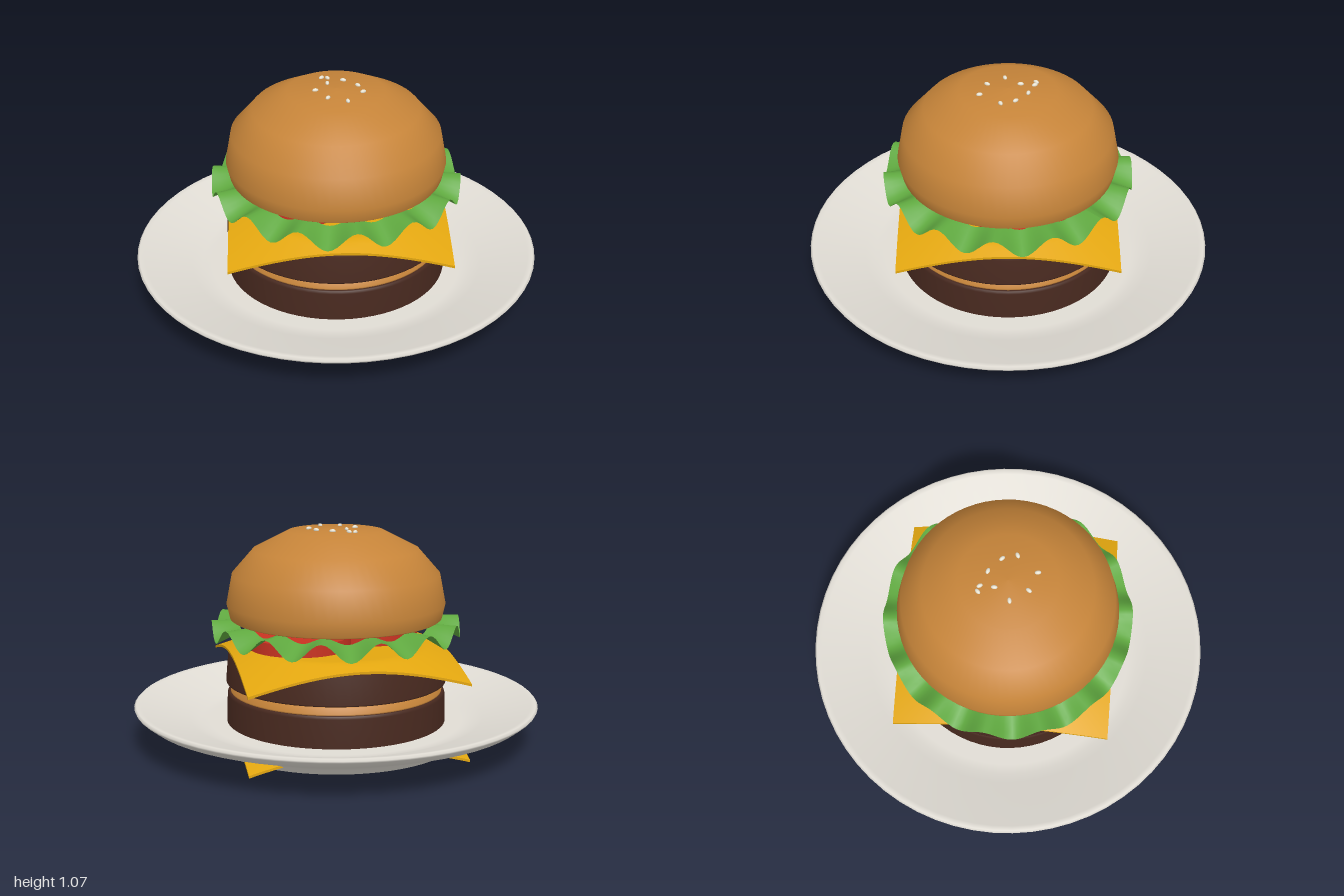
import * as THREE from 'three';

const mat = (name, color, side = THREE.FrontSide) => {
  const m = new THREE.MeshStandardMaterial({ color, side });
  m.name = name;
  return m;
};

export function createModel() {
  const model = new THREE.Group();
  model.name = 'burgerOnPlate';
  const bun = mat('toasted bun', 0xc68439);
  const meat = mat('brown patty', 0x48291f);
  const cheese = mat('yellow cheese', 0xe2a60f);
  const green = mat('green lettuce', 0x5fa83f, THREE.DoubleSide);
  const red = mat('red tomato', 0xc93322);
  const white = mat('plate white', 0xe0dcd4);
  const seedMat = mat('sesame seed', 0xf0ead8);

  const add = (name, geometry, material, x = 0, y = 0, z = 0) => {
    const mesh = new THREE.Mesh(geometry, material);
    mesh.name = name;
    mesh.position.set(x, y, z);
    model.add(mesh);
    return mesh;
  };
  // Profiles run from the bottom centre outwards and up to the top centre
  const lathe = (points) =>
    new THREE.LatheGeometry(points.map(([r, y]) => new THREE.Vector2(r, y)), 64);

  // Plate with a flat base, flared wall and rounded lip
  add('plate', lathe([
    [0, 0.012], [0.615, 0.012], [0.62, 0.015], [0.65, 0.045], [0.68, 0.065], [0.95, 0.155],
    [0.995, 0.19], [1, 0.2], [0.99, 0.21], [0.965, 0.206], [0.73, 0.132], [0.68, 0.115],
    [0.63, 0.11], [0, 0.11],
  ]), white);

  // Two patties with a thin bun between them
  add('lowerPatty', lathe([
    [0, 0.09], [0.545, 0.09], [0.545, 0.1], [0.54, 0.25], [0.535, 0.262], [0.53, 0.264], [0, 0.264],
  ]), meat);
  add('middleBun', lathe([
    [0, 0.262], [0.525, 0.262], [0.525, 0.27], [0.512, 0.298], [0.505, 0.302], [0, 0.302],
  ]), bun);
  add('upperPatty', lathe([
    [0, 0.312], [0.545, 0.312], [0.546, 0.318], [0.534, 0.45], [0.525, 0.457], [0.46, 0.482], [0, 0.482],
  ]), meat);

  // Square cheese slices, flat in the middle with drooping corners on the axes
  const side = 0.75 * Math.SQRT2;
  const slice = new THREE.BoxGeometry(side, 0.012, side, 40, 1, 40).rotateY(Math.PI / 4);
  const sp = slice.attributes.position;
  for (let i = 0; i < sp.count; i++) {
    const r = Math.hypot(sp.getX(i), sp.getZ(i));
    sp.setY(i, sp.getY(i) - 0.4 * Math.max(0, r - 0.46));
  }
  slice.computeVertexNormals();
  add('upperCheese', slice, cheese, 0, 0.494, 0);
  add('lowerCheese', slice, cheese, 0, 0.122, 0);

  // Two overlapping tomato slices
  const tomato = new THREE.CylinderGeometry(0.25, 0.25, 0.06, 40);
  add('tomatoLeft', tomato, red, 0.19, 0.53, 0.09);
  add('tomatoRight', tomato, red, -0.19, 0.529, -0.07);

  // Lettuce ring whose rim hangs in fourteen waves
  const lettuce = new THREE.RingGeometry(0.48, 0.612, 168, 4).rotateX(-Math.PI / 2);
  const lp = lettuce.attributes.position;
  for (let i = 0; i < lp.count; i++) {
    const x = lp.getX(i), z = lp.getZ(i);
    const t = (Math.hypot(x, z) - 0.48) / 0.132;
    const dip = 0.5 - 0.5 * Math.cos(14 * Math.atan2(z, x));
    lp.setY(i, 0.62 - 0.088 * dip * (0.35 + 0.65 * t));
  }
  lettuce.computeVertexNormals();
  add('lettuce', lettuce, green);

  // Domed top bun
  add('topBun', lathe([
    [0, 0.625], [0.515, 0.625], [0.522, 0.63], [0.538, 0.7], [0.51, 0.845], [0.405, 0.965],
    [0.235, 1.052], [0, 1.066],
  ]), bun);

  // Sesame seeds scattered round the crown
  const seed = new THREE.SphereGeometry(0.012, 12, 8).scale(1.3, 0.8, 0.8);
  [[0.05, -0.14], [0.065, -0.115], [-0.08, -0.06], [0.015, -0.07], [0.095, -0.04],
    [-0.1, 0.04], [0.1, 0.05], [0.065, 0.115], [-0.06, 0.13]].forEach(([x, z], i) => {
    const y = 1.069 - 0.06 * Math.hypot(x, z);
    add('seed' + (i + 1), seed, seedMat, x, y, z).rotation.y = i * 1.3;
  });

  return model;
}
